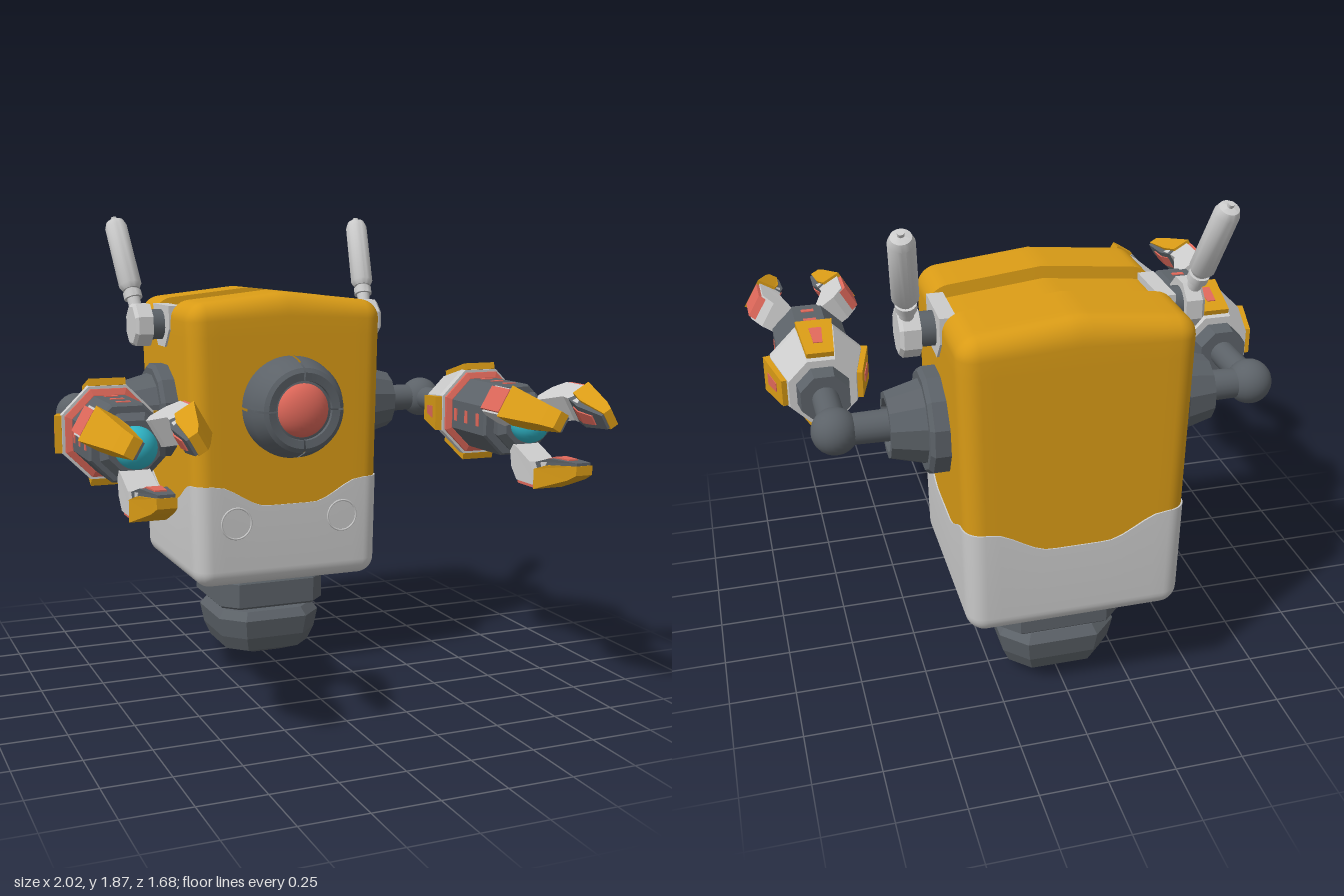
import * as THREE from 'three';
import { toCreasedNormals } from 'three/addons/utils/BufferGeometryUtils.js';

const GREY = 0xcccccc, DARK = 0x5c6268, YELLOW = 0xd99b16, RED = 0xdf685a, CYAN = 0x2fb4c6;
const PI = Math.PI, BODY_Z = -0.46, ARM_Y = 1.08;

function add(parent, name, geometry, color, flat = true) {
  const m = new THREE.Mesh(geometry, new THREE.MeshStandardMaterial({ color, flatShading: flat }));
  m.name = name;
  parent.add(m);
  return m;
}

function group(parent, name) {
  const g = new THREE.Group();
  g.name = name;
  parent.add(g);
  return g;
}

// Turned shape from [radius, height] pairs; few sides give flats facing the axes
function turned(pts, sides, start = PI / sides, length = 2 * PI) {
  const k = sides <= 12 ? 1 / Math.cos(PI / sides) : 1;
  return new THREE.LatheGeometry(pts.map(([r, y]) => new THREE.Vector2(r * k, y)), sides, start, length);
}
const alongZ = (g) => g.rotateX(PI / 2);
const alongX = (g) => g.rotateZ(-PI / 2);

// Octagonal shape widened towards a square with chamfered corners
function chamfered(pts, f) {
  const g = turned(pts, 8), p = g.attributes.position;
  for (let i = 0; i < p.count; i++) {
    const x = p.getX(i), z = p.getZ(i);
    if (Math.abs(x) < Math.abs(z)) p.setX(i, x * f);
    else p.setZ(i, z * f);
  }
  return g;
}

// Profile in the z-y plane with a width in x that tapers along z
function slab(pts, width, taper = () => 1) {
  const shape = new THREE.Shape(pts.map(([z, y]) => new THREE.Vector2(z, y)));
  const g = new THREE.ExtrudeGeometry(shape, { depth: width, bevelEnabled: false });
  g.translate(0, 0, -width / 2).rotateY(-PI / 2);
  const p = g.attributes.position;
  for (let i = 0; i < p.count; i++) p.setX(i, p.getX(i) * taper(p.getZ(i)));
  g.computeVertexNormals();
  return g;
}

// Wavy seam between the two body shells
function seam(x, z) {
  const s = (t) => THREE.MathUtils.smoothstep(Math.abs(t), 0.1, 0.32);
  return 0.72 + 0.09 * Math.min(s(x), s(z));
}

// Rounded body with a peaked, grooved top, clamped above or below the seam
function bodyShell(upper) {
  const r = 0.07, half = [0.4, 0.57, 0.38];
  const steps = [];
  for (let i = -7; i <= 7; i++) steps.push(i * 0.04);
  const inner = [steps, [-0.14, 0.44], [...steps, -0.115, 0.115].sort((a, b) => a - b)];
  const st = half.map((h, a) => {
    const e = [0, 1, 2, 3, 4].map((i) => h - r + r * Math.tan(i * PI / 16));
    return [...e.map((v) => -v).reverse(), ...inner[a], ...e];
  });
  const g = new THREE.BoxGeometry(1, 1, 1, st[0].length - 1, st[1].length - 1, st[2].length - 1);
  const p = g.attributes.position, v = new THREE.Vector3(), q = new THREE.Vector3();
  const lim = new THREE.Vector3(...half).subScalar(r), neg = lim.clone().negate();
  for (let i = 0; i < p.count; i++) {
    v.fromBufferAttribute(p, i);
    const c = v.toArray().map((t, a) => st[a][Math.round((t + 0.5) * (st[a].length - 1))]);
    v.fromArray(c);
    q.copy(v).clamp(neg, lim);
    v.sub(q).setLength(r).add(q);
    let y = v.y + 0.96;
    if (y > 1.4) {
      const groove = Math.abs(v.z) < 0.118 ? 0.045 : 0;
      y += (y - 1.4) / 0.13 * (0.045 * Math.max(0, 1 - Math.abs(v.x) / 0.4) - groove);
    }
    const s = seam(v.x, v.z);
    y = upper ? Math.max(y, s) : Math.min(y, s);
    const k = upper ? 1 : 1.012;
    p.setXYZ(i, v.x * k * (0.975 + 0.055 * (y - 0.39)), y, v.z * k + BODY_Z);
  }
  return toCreasedNormals(g, 0.7);
}

function buildEye(parent) {
  const eye = group(parent, 'eye');
  eye.position.set(0, 1.12, 0);
  const rim = [[0.2, -0.12], [0.205, -0.04], [0.195, 0.01], [0.168, 0.075], [0.15, 0.085], [0.118, 0.08], [0.112, 0.02]];
  for (let i = 0; i < 4; i++) {
    const g = alongZ(turned(rim, 16, i * PI / 2 + 0.025, PI / 2 - 0.05));
    add(eye, 'eyeHousingQuarter', toCreasedNormals(g, 0.5), DARK, false).material.side = THREE.DoubleSide;
  }
  add(eye, 'eyeCore', alongZ(turned([[0.18, -0.12], [0.18, 0], [0.15, 0.065], [0, 0.065]], 32)), DARK, false);
  const lens = add(eye, 'eyeLens', new THREE.SphereGeometry(0.115, 32, 20), RED, false);
  lens.scale.z = 0.6;
  lens.position.z = 0.04;
}

function buildFinger(hand, angle) {
  const f = group(hand, 'finger');
  f.rotation.z = angle;
  const taper = (z) => 1 - 0.5 * THREE.MathUtils.smoothstep(z, 0.58, 0.88);
  add(f, 'fingerLink', slab([[0.41, 0.07], [0.47, 0.09], [0.56, 0.13], [0.67, 0.115], [0.61, 0.215], [0.47, 0.215], [0.43, 0.17]], 0.11, taper), GREY);
  add(f, 'fingerPanel', slab([[0.455, 0.2], [0.6, 0.2], [0.6, 0.228], [0.47, 0.228]], 0.095), RED);
  add(f, 'fingerTip', slab([[0.605, 0.15], [0.68, 0.125], [0.84, 0.105], [0.84, 0.14], [0.79, 0.165], [0.605, 0.228]], 0.13, taper), YELLOW);
  add(f, 'fingerPad', slab([[0.6, 0.125], [0.68, 0.1], [0.835, 0.095], [0.835, 0.125], [0.62, 0.16]], 0.11, taper), DARK);
  add(f, 'fingerGrip', slab([[0.63, 0.112], [0.685, 0.094], [0.77, 0.092], [0.77, 0.11], [0.65, 0.13]], 0.06, taper), RED);
}

function buildArm(side) {
  const arm = group(side, 'arm');
  // Shoulder cup, upper arm and elbow
  const shoulder = group(arm, 'shoulder');
  shoulder.position.set(0, ARM_Y, BODY_Z);
  add(shoulder, 'shoulderCup', alongX(turned([[0.19, 0.38], [0.19, 0.46], [0.175, 0.475], [0.15, 0.475], [0.118, 0.6], [0.095, 0.6], [0.085, 0.52], [0, 0.52]], 12)), DARK);
  add(shoulder, 'upperArm', alongX(turned([[0.06, 0.5], [0.055, 0.78]], 20)), DARK, false);
  add(shoulder, 'elbow', new THREE.SphereGeometry(0.085, 24, 16), DARK, false).position.x = 0.78;

  // Forearm, turned along z
  const fore = group(arm, 'forearm');
  fore.position.set(0.78, ARM_Y, 0);
  add(fore, 'forearmRod', alongZ(turned([[0.05, -0.46], [0.05, -0.18]], 20)), DARK, false);
  add(fore, 'forearmCollar', alongZ(turned([[0, -0.21], [0.09, -0.21], [0.1, -0.12]], 8)), DARK);
  add(fore, 'forearmGuard', alongZ(turned([[0, -0.14], [0.125, -0.14], [0.172, 0.05], [0.172, 0.08], [0, 0.08]], 8)), GREY);
  add(fore, 'forearmRing', alongZ(turned([[0, 0.07], [0.162, 0.07], [0.162, 0.092], [0.14, 0.1], [0, 0.1]], 8)), RED);
  add(fore, 'forearmBarrel', alongZ(turned([[0.138, 0.09], [0.138, 0.35], [0.13, 0.36], [0, 0.36]], 8)), DARK);
  add(fore, 'wrist', alongZ(turned([[0.08, 0.34], [0.08, 0.37], [0.105, 0.375], [0.115, 0.42], [0.09, 0.445], [0, 0.445]], 8)), DARK);
  for (let i = 0; i < 4; i++) {
    const face = group(fore, 'forearmFace');
    face.rotation.z = i * PI / 2;
    const plate = add(face, 'guardPlate', slab([[-0.1, -0.015], [0.1, -0.015], [0.1, 0.012], [-0.1, 0.012]], 0.12, (z) => 1 + 1.5 * z), YELLOW);
    plate.position.set(0, 0.163, -0.025);
    plate.rotation.x = -0.25;
    add(plate, 'plateInset', slab([[-0.04, 0], [0.05, 0], [0.05, 0.015], [-0.04, 0.015]], 0.04, (z) => 1 + 4 * z), RED);
    for (const z of [0.13, 0.215, 0.305]) {
      add(face, 'barrelSlot', new THREE.BoxGeometry(0.05, 0.01, 0.022), RED).position.set(0, 0.136, z);
    }
  }

  // Three-fingered claw around a glowing ball
  const hand = group(fore, 'hand');
  add(hand, 'palmBall', new THREE.SphereGeometry(0.075, 24, 16), CYAN, false).position.z = 0.465;
  for (const a of [PI, PI / 3, -PI / 3]) buildFinger(hand, a);
}

function buildAntenna(side) {
  const antenna = group(side, 'antenna');
  // Mount set into the body edge
  const mount = slab([[-0.115, 1.515], [-0.115, 1.42], [-0.05, 1.345], [0.05, 1.345], [0.115, 1.42], [0.115, 1.515]], 0.06);
  add(antenna, 'antennaMount', mount, GREY).position.set(0.39, 0, BODY_Z);
  const pivot = group(antenna, 'antennaPivot');
  pivot.position.set(0, 1.435, BODY_Z);
  add(pivot, 'pivotShaft', alongX(turned([[0.062, 0.38], [0.062, 0.49]], 16)), DARK, false);
  add(pivot, 'pivotKnob', alongX(turned([[0, 0.475], [0.085, 0.475], [0.085, 0.535], [0.073, 0.548], [0, 0.548]], 8)), GREY);
  // Leaning rod
  const rod = group(antenna, 'antennaRod');
  rod.position.set(0.515, 1.49, -0.49);
  rod.quaternion.setFromUnitVectors(new THREE.Vector3(0, 1, 0), new THREE.Vector3(0.04, 0.38, -0.19).normalize());
  add(rod, 'rodStem', turned([[0.025, -0.04], [0.028, 0.1]], 16), GREY, false);
  add(rod, 'rodJoint', toCreasedNormals(turned([[0, 0.055], [0.038, 0.055], [0.038, 0.085], [0, 0.085]], 16), 0.6), GREY, false);
  const grip = [[0, 0.095], [0.035, 0.095], [0.047, 0.115], [0.046, 0.38], [0.036, 0.405], [0.012, 0.412], [0.012, 0.425], [0, 0.425]];
  add(rod, 'rodGrip', toCreasedNormals(turned(grip, 20), 0.7), GREY, false);
}

export function createModel() {
  const model = new THREE.Group();
  model.name = 'robot';

  // Body shells
  add(model, 'upperBody', bodyShell(true), YELLOW, false);
  add(model, 'lowerBody', bodyShell(false), GREY, false);
  buildEye(model);

  // Neck, collar and foot below the body
  const base = group(model, 'base');
  base.position.z = BODY_Z;
  add(base, 'neck', chamfered([[0.15, 0.2], [0.15, 0.42]], 1.4), DARK);
  add(base, 'collar', chamfered([[0, 0.245], [0.22, 0.245], [0.23, 0.255], [0.23, 0.355], [0.22, 0.37], [0, 0.37]], 1.75), DARK);
  add(base, 'foot', chamfered([[0, 0], [0.1, 0.015], [0.185, 0.05], [0.21, 0.11], [0.225, 0.19], [0.2, 0.225], [0, 0.235]], 1.45), DARK);

  // Mirrored parts
  for (const s of [1, -1]) {
    const side = group(model, s > 0 ? 'leftSide' : 'rightSide');
    side.scale.x = s;
    buildArm(side);
    buildAntenna(side);
    const port = group(side, 'frontPort');
    port.position.set(0.23, 0.655, -0.0754);
    add(port, 'portRim', new THREE.TorusGeometry(0.063, 0.004, 6, 32), GREY, false);
  }
  return model;
}
